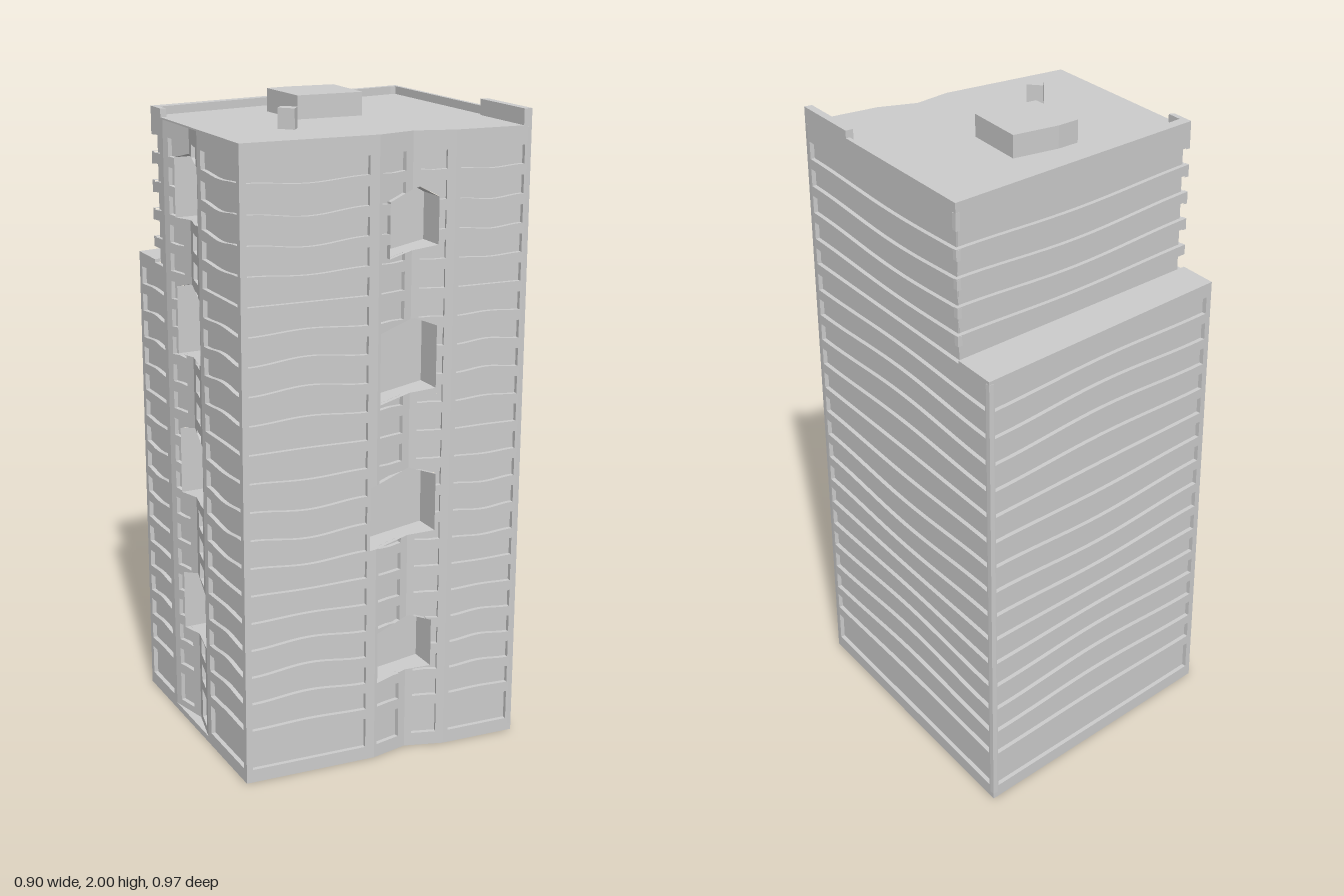
import * as THREE from 'three';

const RECESS = 0.014, ROOF = 1.925, STEP = 1.475, BASE = 0.02;
const material = new THREE.MeshStandardMaterial({ color: 0xcccccc, flatShading: true });
const thinMaterial = new THREE.MeshStandardMaterial({ color: 0xcccccc, flatShading: true, side: THREE.DoubleSide });
const { lerp } = THREE.MathUtils;

// Prism from a plan outline of [x, z] points
function prism(name, outline, y0, y1) {
  const shape = new THREE.Shape(outline.map(([x, z]) => new THREE.Vector2(x, -z)));
  const geo = new THREE.ExtrudeGeometry(shape, { depth: y1 - y0, bevelEnabled: false });
  geo.rotateX(-Math.PI / 2).translate(0, y0, 0);
  const mesh = new THREE.Mesh(geo, material);
  mesh.name = name;
  return mesh;
}

function quadMesh(name, quads, mat) {
  const pos = [];
  for (const [a, b, c, d] of quads) pos.push(...a, ...b, ...c, ...a, ...c, ...d);
  const geo = new THREE.BufferGeometry();
  geo.setAttribute('position', new THREE.Float32BufferAttribute(pos, 3));
  geo.computeVertexNormals();
  const mesh = new THREE.Mesh(geo, mat);
  mesh.name = name;
  return mesh;
}

// Storey windows: a tall ground floor, then twenty regular rows
const rows = [[0.042, 0.138]];
for (let k = 0; k < 20; k++) rows.push([0.17 + 0.0868 * k, 0.225 + 0.0868 * k]);

// Vertical ripple of a window row at place v within its bay
function ripple(row, bay, v) {
  if (row === rows[0]) return 0;
  const f = (v - bay[0]) / (bay[1] - bay[0]);
  const size = 0.018 * Math.min(1, (bay[1] - bay[0]) / 0.4);
  return size * Math.sin(2 * Math.PI * ((row[0] + row[1]) / 2 - 0.15) / 0.9) * Math.sin(Math.PI * f) ** 2;
}

// Large opening: slanted sill, pitched head
const sill = (o, v) => lerp(o.lo[0], o.lo[1], (v - o.a) / (o.b - o.a));
const head = (o, v) => v < o.peak
  ? lerp(o.hi[0], o.hi[1], (v - o.a) / (o.peak - o.a))
  : lerp(o.hi[1], o.hi[2], (v - o.peak) / (o.b - o.peak));

// One flat wall from p to q (outside on the right hand of travel seen from above),
// cut into columns; windows are recessed, openings go right through.
function wallPanel(quads, p, q, axis, y0, y1, bay, openings = []) {
  const len = Math.hypot(q[0] - p[0], q[1] - p[1]);
  const n = [-(q[1] - p[1]) / len, (q[0] - p[0]) / len];
  const toT = v => (v - p[axis]) / (q[axis] - p[axis]);
  const toV = t => lerp(p[axis], q[axis], t);
  const point = (t, y, off) => [lerp(p[0], q[0], t) - n[0] * off, y, lerp(p[1], q[1], t) - n[1] * off];

  function columns(cuts, start, end, withRows, off) {
    const ts = [start, end, ...cuts.map(toT).filter(t => t > start && t < end)].sort((a, b) => a - b);
    for (let i = 0; i + 1 < ts.length; i++) {
      const [t0, t1] = [ts[i], ts[i + 1]];
      if (t1 - t0 < 1e-6) continue;
      const v0 = toV(t0), v1 = toV(t1), mid = (v0 + v1) / 2;
      const voids = [];
      if (withRows && mid > bay[0] && mid < bay[1]) {
        for (const r of rows) {
          if (Math.min(r[1], y1) - Math.max(r[0], y0) < 0.01) continue;
          const d0 = ripple(r, bay, v0), d1 = ripple(r, bay, v1);
          voids.push([r[0] + d0, r[1] + d0, r[0] + d1, r[1] + d1]);
        }
      }
      for (const o of openings) {
        if (mid > o.a && mid < o.b) voids.push([sill(o, v0), head(o, v0), sill(o, v1), head(o, v1)]);
      }
      voids.sort((a, b) => a[0] + a[2] - b[0] - b[2]);
      const merged = [];
      for (const w of voids) {
        const m = merged[merged.length - 1];
        if (m && w[0] + w[2] < m[1] + m[3]) {
          for (const j of [0, 2]) m[j] = Math.min(m[j], w[j]);
          for (const j of [1, 3]) m[j] = Math.max(m[j], w[j]);
        } else merged.push([...w]);
      }
      merged.push([y1, y1, y1, y1]);
      let l0 = y0, l1 = y0;
      for (const m of merged) {
        const h0 = Math.max(l0, Math.min(m[0], y1)), h1 = Math.max(l1, Math.min(m[2], y1));
        if (h0 - l0 + h1 - l1 > 1e-6) {
          const [A, B, C, D] = [[t0, l0], [t1, l1], [t1, h1], [t0, h0]].map(c => point(c[0], c[1], off));
          const [E, F, G, H] = [[t0, l0], [t1, l1], [t1, h1], [t0, h0]].map(c => point(c[0], c[1], off + RECESS));
          quads.push([A, B, C, D]);
          if (withRows) quads.push([D, C, G, H], [E, F, B, A], [E, A, D, H], [B, F, G, C]);
        }
        l0 = Math.max(l0, m[1]);
        l1 = Math.max(l1, m[3]);
      }
    }
  }

  const openCuts = openings.flatMap(o => [o.a, o.peak, o.b]);
  const steps = bay[1] - bay[0] > 0.15 ? 16 : 4;
  const bayCuts = Array.from({ length: steps + 1 }, (_, i) => lerp(bay[0], bay[1], i / steps));
  columns([...openCuts, ...bayCuts], 0, 1, true, 0);
  columns(openCuts, RECESS / len, 1 - RECESS / len, false, RECESS); // window panes
}

// Lining of a large opening: floor, ceiling, back and cheeks
function openingLining(name, o, line, axis, inward) {
  const depth = 0.09;
  const at = v => {
    let i = 0;
    while (i < line.length - 2 && v > line[i + 1][axis]) i++;
    const t = (v - line[i][axis]) / (line[i + 1][axis] - line[i][axis]);
    return [lerp(line[i][0], line[i + 1][0], t), lerp(line[i][1], line[i + 1][1], t)];
  };
  const vs = [o.a, o.peak, o.b, ...line.map(c => c[axis]).filter(v => v > o.a && v < o.b)].sort((a, b) => a - b);
  const [first, last] = [at(o.a), at(o.b)];
  const ribs = vs.map(v => {
    const f = at(v), k = (v - o.a) / (o.b - o.a);
    const bk = [0, 1].map(j => lerp(first[j], last[j], k) + inward[j] * depth);
    return [[f, sill(o, v)], [bk, sill(o, v)], [bk, head(o, v)], [f, head(o, v)]].map(([c, y]) => [c[0], y, c[1]]);
  });
  const quads = [ribs[0], ribs[ribs.length - 1]];
  for (let i = 0; i + 1 < ribs.length; i++) {
    for (let j = 0; j < 3; j++) quads.push([ribs[i][j], ribs[i + 1][j], ribs[i + 1][j + 1], ribs[i][j + 1]]);
  }
  return quadMesh(name, quads, thinMaterial);
}

export function createModel() {
  const model = new THREE.Group();

  // Plan lines
  const front = [[-0.45, 0.43], [-0.03, 0.455], [0.09, 0.43], [0.21, 0.468], [0.45, 0.483]];
  const side = [[-0.45, -0.125], [-0.42, 0.005], [-0.45, 0.135], [-0.45, 0.43]];
  const backR = [0.45, -0.485], backL = [-0.45, -0.35];
  const upperR = [0.45, -0.333], upperL = [-0.45, -0.218];
  const frontBays = [[-0.43, -0.06], [-0.02, 0.065], [0.112, 0.185], [0.225, 0.43]];
  const sideBays = [[-0.1, -0.03], [0.04, 0.11], [0.16, 0.41]];

  // Large openings in the two folded facades
  const frontOpenings = [
    { a: -0.02, b: 0.165, peak: 0.1, lo: [0.25, 0.272], hi: [0.415, 0.445, 0.425] },
    { a: -0.05, b: 0.17, peak: 0.09, lo: [0.69, 0.72], hi: [0.89, 0.925, 0.9] },
    { a: -0.02, b: 0.165, peak: 0.1, lo: [1.14, 1.17], hi: [1.355, 1.385, 1.36] },
    { a: 0.01, b: 0.165, peak: 0.11, lo: [1.57, 1.6], hi: [1.735, 1.77, 1.74] },
  ];
  const sideOpenings = [[0.31, 0.5], [0.77, 0.98], [1.22, 1.43], [1.64, 1.82]].map(([l, h]) => (
    { a: -0.07, b: 0.13, peak: 0.005, lo: [l, l + 0.01], hi: [h, h + 0.02, h] }));

  // Facades
  const frontQuads = [], leftQuads = [], rightQuads = [], backQuads = [];
  frontBays.forEach((bay, i) => wallPanel(frontQuads, front[i], front[i + 1], 0, BASE, ROOF, bay, frontOpenings));
  sideBays.forEach((bay, i) => wallPanel(leftQuads, side[i], side[i + 1], 1, BASE, ROOF, bay, sideOpenings));
  wallPanel(leftQuads, backL, side[0], 1, BASE, STEP, [-0.33, -0.15]);
  wallPanel(leftQuads, upperL, side[0], 1, STEP, ROOF, [-0.33, -0.15]);
  wallPanel(rightQuads, front[4], backR, 1, BASE, STEP, [-0.463, 0.463]);
  wallPanel(rightQuads, front[4], upperR, 1, STEP, ROOF, [-0.463, 0.463]);
  wallPanel(backQuads, backR, backL, 0, BASE, STEP, [-0.43, 0.43]);
  wallPanel(backQuads, upperR, upperL, 0, STEP, ROOF, [-0.47, 0.47]);
  model.add(
    quadMesh('frontFacade', frontQuads, material), quadMesh('rightSideFacade', leftQuads, material),
    quadMesh('leftSideFacade', rightQuads, material), quadMesh('backFacade', backQuads, material));
  frontOpenings.forEach(o => model.add(openingLining('frontOpening', o, front, 0, [0, -1])));
  sideOpenings.forEach(o => model.add(openingLining('sideOpening', o, side, 1, [1, 0])));

  // Base, terrace and roof slabs
  const rim = [...front, ...[]], flank = [...side.slice(0, 3)].reverse();
  model.add(prism('base', [...rim, backR, backL, ...flank], 0, BASE));
  model.add(prism('terrace', [upperR, backR, backL, upperL], STEP, 1.485));
  model.add(prism('roof', [...rim, upperR, upperL, ...flank], ROOF, 1.93));

  // Parapets
  model.add(prism('backParapet', [upperL, [-0.45, -0.14], [-0.433, -0.135], [-0.433, -0.185],
    [0.42, -0.31], [0.45, -0.305], upperR], 1.93, 1.955));
  model.add(prism('sideParapet', [[0.437, -0.307], [0.437, 0.24], [0.45, 0.24], [0.45, -0.305]], 1.93, 1.955));
  model.add(prism('cornerParapet', [[0.425, 0.24], [0.425, 0.481], [0.45, 0.483], [0.45, 0.24]], 1.93, 1.978));

  // Rooftop plant room and chimney
  model.add(prism('plantRoom', [[-0.113, -0.115], [-0.107, 0.085], [0.103, 0.093], [0.11, -0.11], [-0.04, -0.122]], 1.93, 2));
  model.add(prism('chimney', [[-0.215, 0.2], [-0.24, 0.23], [-0.205, 0.27], [-0.18, 0.237]], 1.93, 1.99));
  return model;
}
